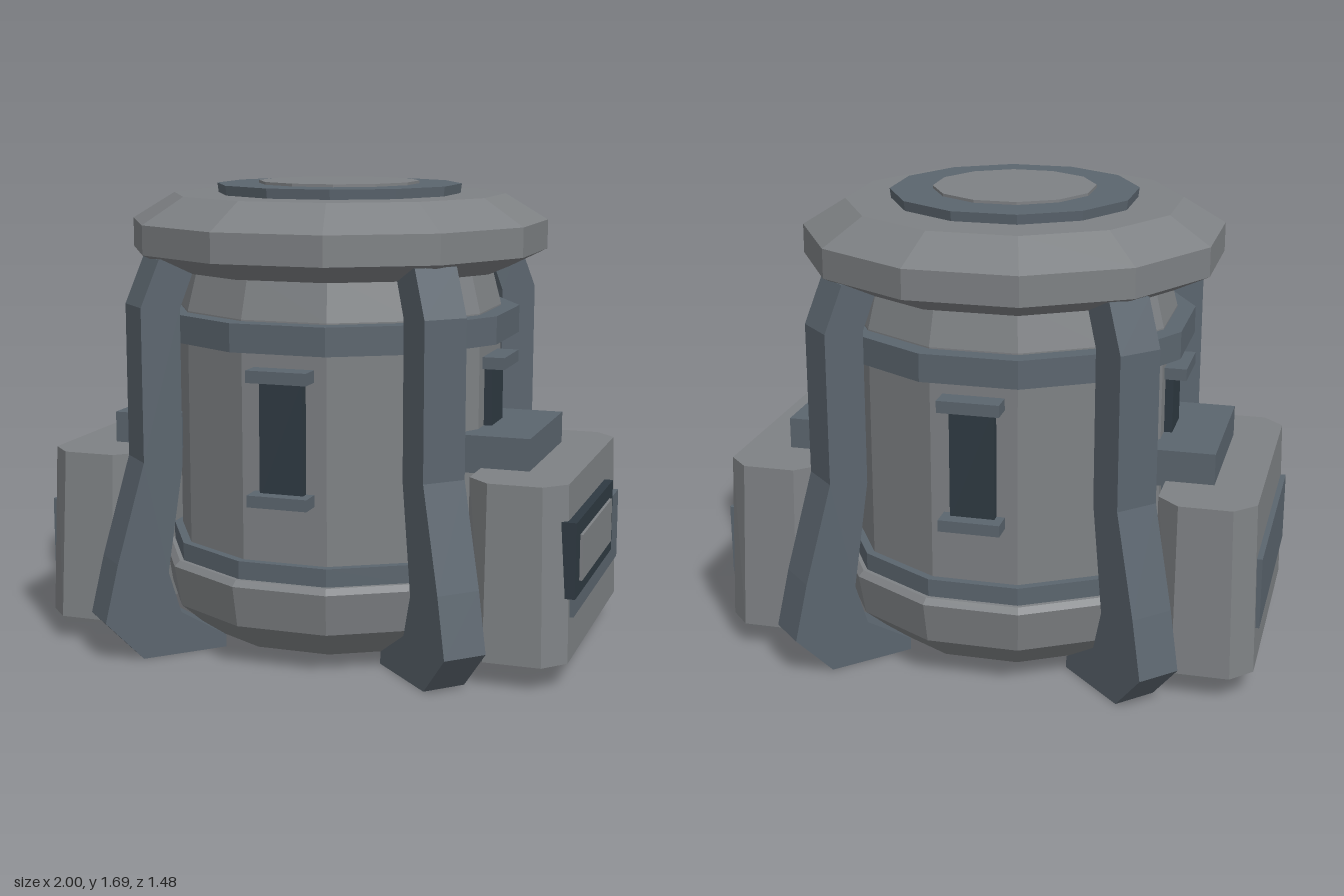
import * as THREE from 'three';

const material = (name, color) => {
  const m = new THREE.MeshStandardMaterial({ color, flatShading: true });
  m.name = name;
  return m;
};

export function createModel() {
  const grey = material('light grey', 0x7e8184);
  const steel = material('steel grey', 0x5b656e);
  const dark = material('dark slate', 0x2f3a42);

  const model = new THREE.Group();
  model.name = 'container';
  // the whole body sits slightly off centre because one side carries a hatch
  const core = new THREE.Group();
  core.name = 'core';
  core.position.x = -0.01;
  model.add(core);

  const add = (parent, name, geometry, mat) => {
    const mesh = new THREE.Mesh(geometry, mat);
    mesh.name = name;
    parent.add(mesh);
    return mesh;
  };

  // twelve-sided turned part; radii are measured to the flats
  const turned = (name, profile, mat) => {
    const points = profile.map(([r, y]) => new THREE.Vector2(r / Math.cos(Math.PI / 12), y));
    return add(core, name, new THREE.LatheGeometry(points, 12, Math.PI / 12), mat);
  };

  // box given by its limits on each axis
  const block = (parent, name, [x0, x1], [y0, y1], [z0, z1], mat) => {
    const g = new THREE.BoxGeometry(x1 - x0, y1 - y0, z1 - z0);
    g.translate((x0 + x1) / 2, (y0 + y1) / 2, (z0 + z1) / 2);
    return add(parent, name, g, mat);
  };

  const outline = (points) => new THREE.Shape(points.map(([x, y]) => new THREE.Vector2(x, y)));

  // barrel, bands and lid
  turned('base', [[0, 0.045], [0.5, 0.045], [0.62, 0.155], [0.645, 0.305], [0.625, 0.325], [0.5, 0.325]], grey);
  turned('lowerBand', [[0.5, 0.31], [0.61, 0.315], [0.61, 0.39], [0.5, 0.39]], steel);
  turned('barrel', [[0.58, 0.3], [0.58, 1.24], [0.54, 1.4]], grey);
  turned('upperBand', [[0.55, 1.135], [0.645, 1.135], [0.645, 1.235], [0.55, 1.235]], steel);
  turned('lid', [[0, 1.38], [0.61, 1.38], [0.74, 1.445], [0.74, 1.55], [0.59, 1.645], [0, 1.645]], grey);
  turned('lidRing', [[0.43, 1.64], [0.435, 1.68], [0, 1.68]], steel);
  turned('lidCap', [[0.285, 1.675], [0.285, 1.69], [0, 1.69]], grey);

  // bent legs on the diagonals
  const legShape = outline([
    [0.5, 0], [0.82, 0], [0.96, 0.15], [0.91, 0.36], [0.805, 0.72], [0.805, 1.27], [0.735, 1.435],
    [0.59, 1.435], [0.66, 1.26], [0.66, 0.7], [0.72, 0.31], [0.674, 0.155], [0.5, 0.045],
  ]);
  const legGeometry = new THREE.ExtrudeGeometry(legShape, { depth: 0.16, bevelEnabled: false });
  legGeometry.translate(0, 0, -0.08);

  for (let i = 0; i < 4; i++) {
    add(core, 'leg', legGeometry, steel).rotation.y = Math.PI / 4 + i * Math.PI / 2;

    // recessed slot with a cap above and below on each face
    const slot = new THREE.Group();
    slot.name = 'slot';
    slot.rotation.y = i * Math.PI / 2;
    core.add(slot);
    block(slot, 'slotPlate', [-0.08, 0.08], [0.62, 1.05], [0.55, 0.61], dark);
    block(slot, 'slotTopCap', [-0.11, 0.11], [1.035, 1.078], [0.55, 0.66], steel);
    block(slot, 'slotBottomCap', [-0.11, 0.11], [0.6, 0.642], [0.55, 0.66], steel);
  }

  // side pods: chamfered plan, narrowing towards the top
  const podShape = outline([
    [0.62, -0.45], [0.7, -0.53], [0.905, -0.53], [0.98, -0.45],
    [0.98, 0.45], [0.905, 0.53], [0.7, 0.53], [0.62, 0.45],
  ]);
  const podGeometry = new THREE.ExtrudeGeometry(podShape, { depth: 0.62, bevelEnabled: false });
  podGeometry.rotateX(-Math.PI / 2);
  const p = podGeometry.attributes.position;
  for (let i = 0; i < p.count; i++) {
    const t = p.getY(i) / 0.62;
    if (p.getX(i) > 0.8) p.setX(i, p.getX(i) - 0.015 * t);
    p.setZ(i, p.getZ(i) * (1 - 0.06 * t));
  }
  podGeometry.translate(0, 0.09, 0);

  const pods = [0, Math.PI].map((angle, i) => {
    const pod = new THREE.Group();
    pod.name = i ? 'rightPod' : 'leftPod';
    pod.rotation.y = angle;
    core.add(pod);
    add(pod, 'podBody', podGeometry, grey);
    block(pod, 'podLedge', [0.55, 0.795], [0.69, 0.825], [-0.272, 0.272], steel);
    block(pod, 'podPlate', [0.93, 0.99], [0.245, 0.508], [-0.418, 0.418], steel);
    return pod;
  });

  // framed hatch on the left pod only
  block(pods[0], 'hatchFrame', [0.93, 1.0], [0.318, 0.585], [-0.235, 0.45], dark);
  block(pods[0], 'hatchPanel', [0.97, 1.01], [0.368, 0.53], [-0.17, 0.385], grey);

  return model;
}
